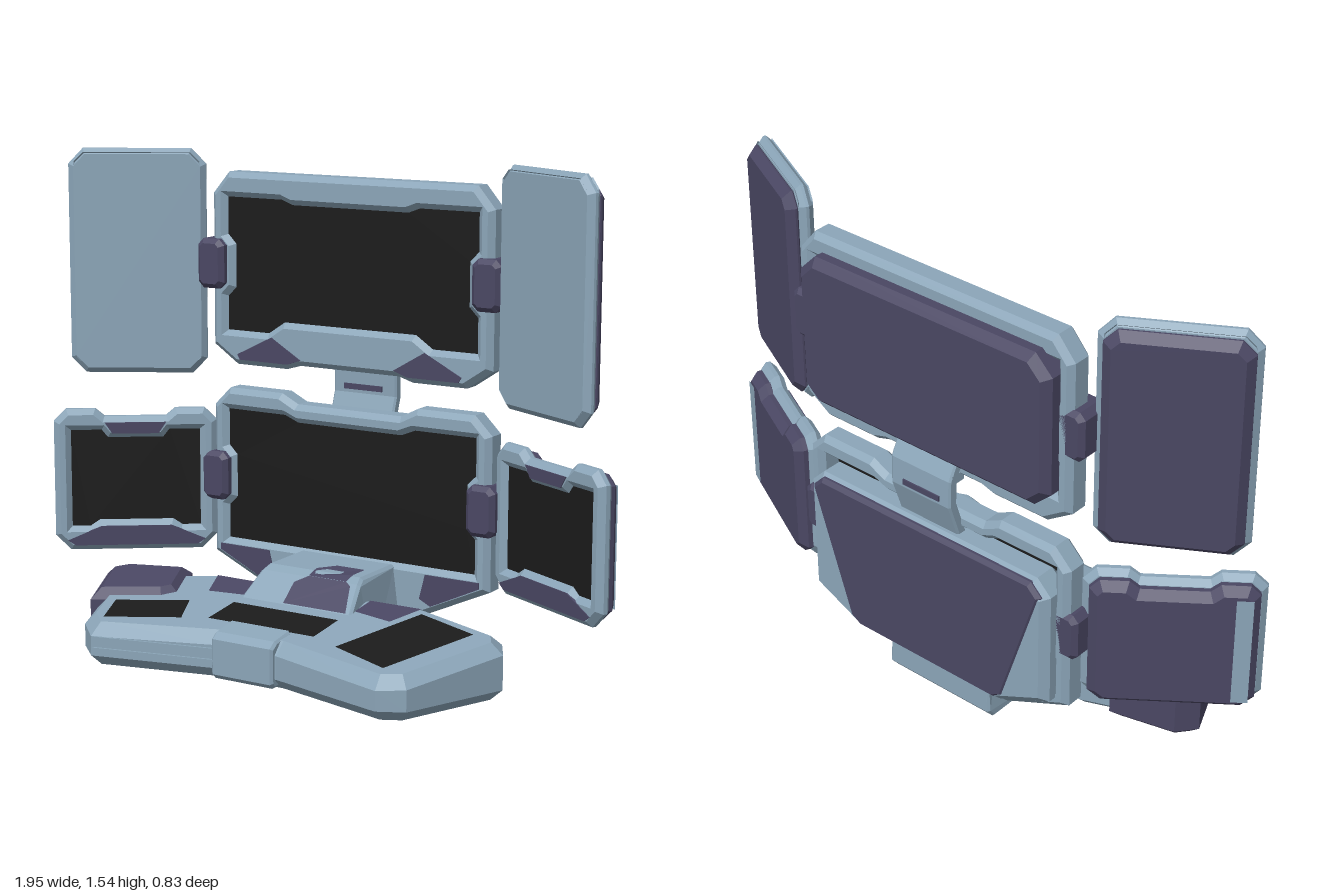
import * as THREE from 'three';

const mat = (color) => new THREE.MeshStandardMaterial({ color, flatShading: true, side: THREE.DoubleSide });
const SHELL = mat(0x8ba5b8), ARMOR = mat(0x4a4763), GLASS = mat(0x1b1b1b);
const CX = -0.03; // centre line of the screens and hub

function add(parent, name, geometry, material) {
  const m = new THREE.Mesh(geometry, material);
  m.name = name;
  parent.add(m);
  return m;
}

const toShape = (pts) => new THREE.Shape(pts.map(([x, y]) => new THREE.Vector2(x, y)));

// Right half of an outline, bottom to top, completed by its mirror image
const sym = (half) => [...half, ...half.map(([x, y]) => [-x, y]).reverse()];

// Chamfered prism between z0 and z1, with an optional hole
function prism(pts, z0, z1, bevel = 0.015, hole = null) {
  const shape = toShape(pts);
  if (hole) shape.holes.push(toShape(hole));
  const g = new THREE.ExtrudeGeometry(shape, {
    depth: z1 - z0 - 2 * bevel, bevelEnabled: bevel > 0, bevelSize: bevel,
    bevelThickness: bevel, bevelOffset: -bevel, bevelSegments: 1,
  });
  return g.translate(0, 0, z0 + bevel);
}

// Flat polygon through corners in space
function fan(points) {
  const pos = [];
  for (let i = 1; i < points.length - 1; i++) pos.push(...points[0], ...points[i], ...points[i + 1]);
  const g = new THREE.BufferGeometry();
  g.setAttribute('position', new THREE.Float32BufferAttribute(pos, 3));
  g.computeVertexNormals();
  return g;
}

// Side profile given as [z, y], extruded along x
function profile(pts, width, bevel) {
  return prism(pts.map(([z, y]) => [-z, y]), -width / 2, width / 2, bevel).rotateY(Math.PI / 2);
}

// Console top slopes down towards the front
const topY = (z) => 0.18 - 0.12 * z;

// Slab from a plan outline [x, z] with a sloping top
function slab(pts, bevel, lift = 0) {
  const H = 0.2;
  const g = prism(pts.map(([x, z]) => [x, -z]), 0, H, bevel).rotateX(-Math.PI / 2);
  const p = g.attributes.position;
  for (let i = 0; i < p.count; i++)
    if (p.getY(i) > H / 2) p.setY(i, p.getY(i) + topY(p.getZ(i)) + lift - H);
  return g;
}

// Screen: bezel with opening, recessed glass, armoured back and trim patches
function screen(parent, o) {
  const g = new THREE.Group();
  g.name = o.name;
  add(g, 'bezel', prism(o.outline, -o.depth, 0, 0.018, o.hole), SHELL);
  add(g, 'glass', new THREE.ShapeGeometry(toShape(o.hole)).translate(0, 0, -0.018), GLASS);
  add(g, 'backCover', prism(o.back, -o.depth - o.backDepth, -0.024, 0.025), o.backMat || ARMOR);
  if (o.backPlate) add(g, 'backPlate', prism(o.backPlate, -o.depth - o.backDepth - 0.005, -o.depth, 0.012), ARMOR);
  for (const t of o.trims || []) add(g, 'trim', prism(t, -0.012, 0.003, 0), ARMOR);
  g.position.set(o.x, 0, o.z);
  g.rotation.y = o.yaw || 0;
  parent.add(g);
  return g;
}

const mirrored = (pts) => [pts, pts.map(([x, y]) => [-x, y])];

export function createModel() {
  const model = new THREE.Group();

  // Upper centre screen
  screen(model, {
    name: 'upperCentreScreen', x: CX, z: -0.275, depth: 0.09, backDepth: 0.055,
    outline: sym([[0.18, 0.865], [0.23, 0.85], [0.42, 0.85], [0.51, 0.91], [0.51, 1.4], [0.45, 1.47]]),
    hole: sym([[0.24, 1.0], [0.3, 0.96], [0.455, 0.96], [0.455, 1.07], [0.425, 1.1], [0.425, 1.24],
      [0.455, 1.27], [0.455, 1.39], [0.25, 1.39], [0.21, 1.375]]),
    back: sym([[0.41, 0.925], [0.47, 0.98], [0.47, 1.36], [0.41, 1.42]]),
    trims: mirrored([[0.17, 0.885], [0.22, 0.868], [0.4, 0.868], [0.41, 0.885], [0.28, 0.95]]),
  });

  // Lower centre screen with a tapering back plate
  screen(model, {
    name: 'lowerCentreScreen', x: CX, z: -0.275, depth: 0.09, backDepth: 0.05, backMat: SHELL,
    outline: sym([[0.27, 0.11], [0.51, 0.22], [0.51, 0.71], [0.45, 0.77], [0.25, 0.77], [0.19, 0.74]]),
    hole: sym([[0.455, 0.27], [0.455, 0.38], [0.425, 0.41], [0.425, 0.55], [0.455, 0.58], [0.455, 0.7],
      [0.24, 0.7], [0.19, 0.68]]),
    back: sym([[0.28, 0.15], [0.47, 0.24], [0.47, 0.62], [0.42, 0.67]]),
    backPlate: sym([[0.27, 0.165], [0.31, 0.19], [0.45, 0.62], [0.41, 0.66]]),
    trims: mirrored([[0.29, 0.25], [0.48, 0.25], [0.48, 0.23], [0.31, 0.15], [0.27, 0.17]]),
  });

  // Tall side screens and wide side screens, angled inwards
  for (const s of [-1, 1]) {
    const side = s > 0 ? 'left' : 'right';
    screen(model, {
      name: side + 'UpperSideScreen', x: s > 0 ? 0.7 : -0.7525, z: -0.164,
      yaw: s > 0 ? -0.47 : 0.52, depth: 0.045, backDepth: 0.035,
      outline: sym([[0.175, 0.81], [0.2225, 0.86], [0.2225, 1.49], [0.175, 1.54]]),
      hole: sym([[0.165, 0.85], [0.185, 0.87], [0.185, 1.49], [0.165, 1.51]]),
      back: sym([[0.165, 0.83], [0.205, 0.87], [0.205, 1.48], [0.165, 1.52]]),
    });
    const g = screen(model, {
      name: side + 'LowerSideScreen', x: s > 0 ? 0.725 : -0.735, z: s > 0 ? -0.165 : -0.115,
      yaw: s > 0 ? -0.47 : 0.63, depth: 0.05, backDepth: 0.04,
      outline: sym([[0.215, 0.23], [0.265, 0.28], [0.265, 0.66], [0.225, 0.7], [0.13, 0.7], [0.1, 0.675]]),
      hole: sym([[0.12, 0.33], [0.15, 0.31], [0.21, 0.31], [0.21, 0.63], [0.11, 0.63], [0.09, 0.605]]),
      back: sym([[0.205, 0.245], [0.245, 0.28], [0.245, 0.65], [0.215, 0.68], [0.13, 0.68], [0.1, 0.655]]),
      trims: [sym([[0.2, 0.248], [0.225, 0.265], [0.13, 0.305], [0.115, 0.312]]),
        sym([[0.075, 0.62], [0.1, 0.657]])],
    });
    // Pale outer band on the back
    add(g, 'outerBand', fan([[s * 0.225, 0.275, -0.0915], [s * 0.175, 0.275, -0.0915],
      [s * 0.175, 0.645, -0.0915], [s * 0.225, 0.645, -0.0915]]), SHELL);

    // Hinge blocks
    const hinge = sym([[0.03, -0.08], [0.05, -0.06], [0.05, 0.06], [0.03, 0.08]]);
    for (const y of [1.175, 0.48])
      add(model, side + 'Hinge', prism(hinge, -0.06, 0.06, 0.015), ARMOR)
        .position.set(CX + s * (y > 1 ? 0.5 : 0.49), y, -0.305);
  }

  // Bracket joining the two centre screens
  add(model, 'neckBracket', profile([[-0.34, 0.94], [-0.375, 0.94], [-0.412, 0.87], [-0.415, 0.78], [-0.375, 0.66],
    [-0.34, 0.66], [-0.38, 0.78], [-0.378, 0.86]], 0.23, 0.006).translate(-0.025, 0, 0), SHELL);
  add(model, 'neckSlot', new THREE.BoxGeometry(0.14, 0.018, 0.044).translate(CX, 0.8, -0.397), ARMOR);
  for (const s of [-1, 1])
    add(model, 'neckLug', new THREE.BoxGeometry(0.05, 0.03, 0.05).translate(-0.025 + s * 0.09, 0.87, -0.375), SHELL);

  // Console body
  add(model, 'console', slab([[-0.41, -0.13], [-0.56, -0.07], [-0.68, 0.14], [-0.61, 0.33], [-0.53, 0.405],
    [-0.13, 0.31], [0.085, 0.31], [0.485, 0.41], [0.565, 0.37], [0.7, 0.04], [0.66, -0.03], [0.36, -0.13]], 0.035), SHELL);
  add(model, 'sidePod', slab([[-0.77, 0], [-0.72, -0.06], [-0.51, -0.11], [-0.435, 0.07], [-0.47, 0.12],
    [-0.68, 0.21]], 0.03, 0.02), ARMOR);

  // Ribs along the front edge of the right wing
  for (const y of [0.055, 0.09]) {
    const rib = add(model, 'frontRib', new THREE.BoxGeometry(0.4, 0.016, 0.02), SHELL);
    rib.position.set(-0.33, y, 0.355);
    rib.rotation.y = 0.233;
  }

  // Touch pads and coloured panels lying on the sloping top
  const onTop = (name, pts, material, lift = 0.004) =>
    add(model, name, fan(pts.map(([x, z]) => [x, topY(z) + lift, z])), material);
  onTop('centrePad', [[-0.22, 0.08], [-0.22, 0.22], [0.16, 0.22], [0.16, 0.08]], GLASS);
  onTop('rightPad', [[-0.58, 0.21], [-0.53, 0.34], [-0.3, 0.25], [-0.36, 0.12]], GLASS);
  onTop('leftPad', [[0.37, -0.06], [0.26, 0.26], [0.47, 0.34], [0.59, 0.02]], GLASS);
  onTop('rightTopPanel', [[-0.4, -0.095], [-0.35, 0.03], [-0.22, 0.015], [-0.22, -0.095]], ARMOR);
  onTop('leftTopPanel', [[0.17, -0.095], [0.17, 0.0], [0.31, 0.03], [0.35, -0.095]], ARMOR);

  // Front clip
  add(model, 'frontClip', profile([[0.22, 0.005], [0.31, 0.005], [0.325, 0.02], [0.325, 0.13], [0.3, 0.148],
    [0.22, 0.162]], 0.22, 0.008).translate(CX, 0, 0), SHELL);

  // Hub rising from the console to the screens, narrower towards its top
  const hub = profile([[0.04, 0.05], [0.04, 0.165], [-0.06, 0.25], [-0.09, 0.265], [-0.28, 0.265], [-0.355, 0.23],
    [-0.355, 0.03], [-0.33, 0], [-0.1, 0]], 0.41, 0.008);
  const p = hub.attributes.position;
  for (let i = 0; i < p.count; i++)
    if (p.getY(i) > 0.2) p.setX(i, p.getX(i) * (1 - 2.6 * (p.getY(i) - 0.2)));
  add(model, 'hub', hub.translate(CX, 0, 0), SHELL);
  add(model, 'hubPanel', fan([[-0.07, 0.182, 0.031], [0.155, 0.182, 0.031], [0.125, 0.246, -0.046],
    [0.105, 0.255, -0.056], [-0.03, 0.255, -0.056], [-0.07, 0.235, -0.032]]), ARMOR);
  add(model, 'hubTopPanel', fan([[-0.03, 0.256, -0.055], [0.105, 0.256, -0.055], [0.11, 0.27, -0.09],
    [0.11, 0.27, -0.16], [0.01, 0.27, -0.16], [-0.03, 0.27, -0.1]]), ARMOR);

  return model;
}
